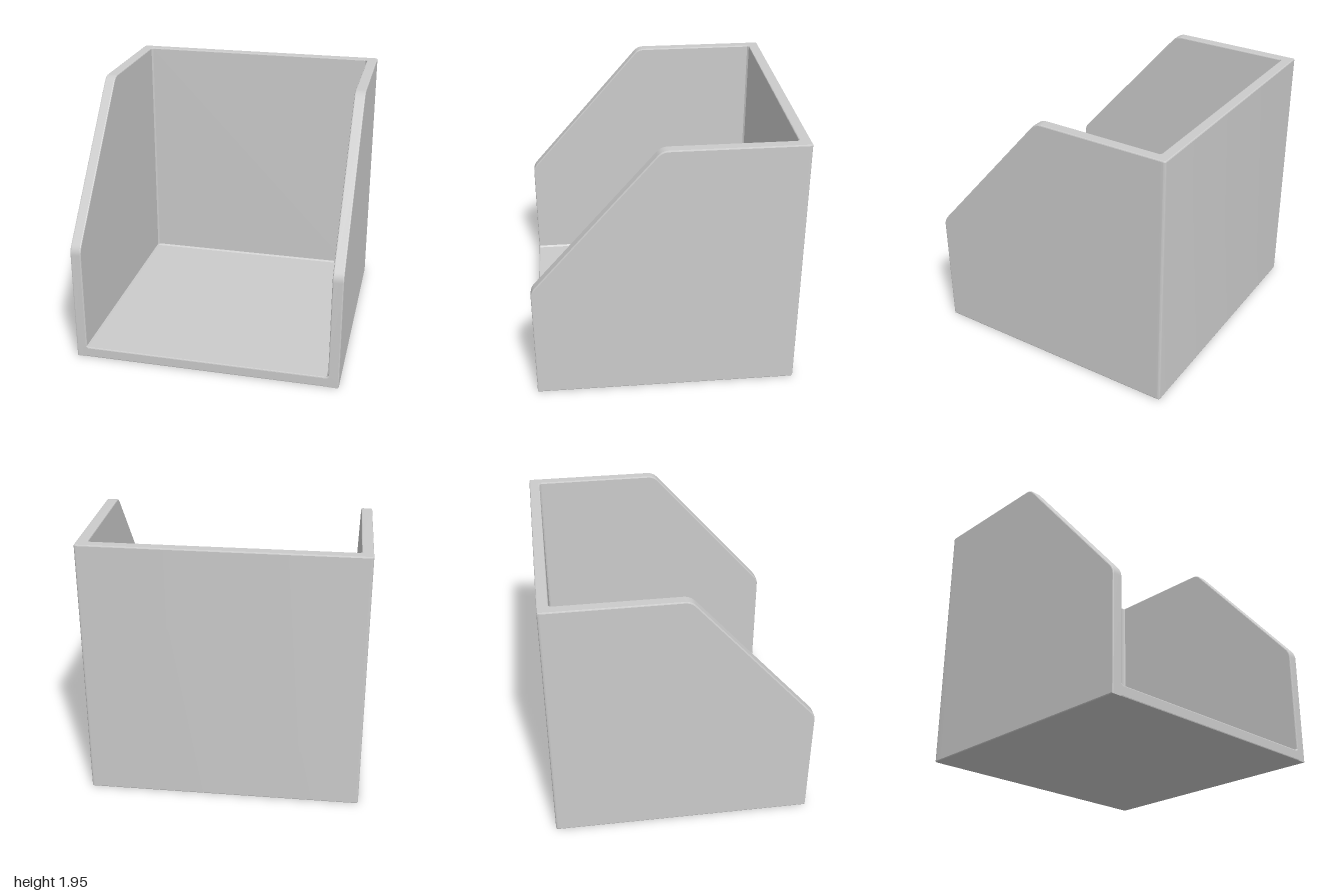
import * as THREE from 'three';
import { toCreasedNormals } from 'three/addons/utils/BufferGeometryUtils.js';

const W = 1, H = 1.95, D = 0.965; // half width, height, half depth
const T = 0.08;                   // wall thickness
const B = 0.008;                  // softened edge
const F = 0.012;                  // inner fillet

const material = new THREE.MeshStandardMaterial({ color: 0xcccccc });

// Slab with softened edges, running from 0 to length along z
function slab(shape, length) {
  const geometry = new THREE.ExtrudeGeometry(shape, {
    depth: length - 2 * B, bevelThickness: B, bevelSize: B, bevelOffset: -B,
    bevelSegments: 2, curveSegments: 6,
  });
  return geometry.translate(0, 0, B);
}

const polygon = (points) => new THREE.Shape(points.map(([x, y]) => new THREE.Vector2(x, y)));

export function createModel() {
  const model = new THREE.Group();
  model.name = 'openBin';

  function add(name, geometry) {
    const mesh = new THREE.Mesh(toCreasedNormals(geometry, 0.3), material);
    mesh.name = name;
    model.add(mesh);
  }

  // Side walls: sloping front edge with rounded corners, drawn as (z, y)
  const side = new THREE.Shape();
  side.moveTo(-D + 0.025, 0);
  side.lineTo(D, 0);
  side.lineTo(D, 0.85);
  side.quadraticCurveTo(D, 0.89, 0.935, 0.925);
  side.lineTo(0.075, 1.913);
  side.quadraticCurveTo(0.043, H, -0.005, H);
  side.lineTo(-D + 0.025, H);
  side.closePath();
  for (const [name, x] of [['leftWall', W], ['rightWall', -W + T]]) {
    add(name, slab(side, T).rotateY(-Math.PI / 2).translate(x, 0, 0));
  }

  // Back wall: plan outline (x, z) with rounded outer corners and inner fillets
  const r = 0.02, inner = -D + T, xi = W - T;
  const back = new THREE.Shape();
  back.moveTo(-W + r, -D);
  back.lineTo(W - r, -D);
  back.quadraticCurveTo(W, -D, W, -D + r);
  back.lineTo(W, inner + F);
  back.lineTo(xi, inner + F);
  back.lineTo(xi - F, inner);
  back.lineTo(-xi + F, inner);
  back.lineTo(-xi, inner + F);
  back.lineTo(-W, inner + F);
  back.lineTo(-W, -D + r);
  back.quadraticCurveTo(-W, -D, -W + r, -D);
  add('backWall', slab(back, H).rotateX(Math.PI / 2).translate(0, H, 0));

  // Floor: front outline (x, y) with inner fillets, set into the back wall
  const floor = polygon([
    [-W + B, 0], [W - B, 0], [W, B], [W, T + F], [xi, T + F], [xi - F, T],
    [-xi + F, T], [-xi, T + F], [-W, T + F], [-W, B],
  ]);
  const floorBack = -D + 0.035;
  add('floor', slab(floor, D - floorBack).translate(0, 0, floorBack));

  // Fillet where the floor meets the back wall, drawn as (z, y)
  const fillet = polygon([
    [inner - F, T - F], [inner + F, T - F], [inner + F, T], [inner, T + F], [inner - F, T + F],
  ]);
  add('floorFillet', new THREE.ExtrudeGeometry(fillet, { depth: 2 * xi, bevelEnabled: false })
    .rotateY(-Math.PI / 2).translate(xi, 0, 0));

  return model;
}
